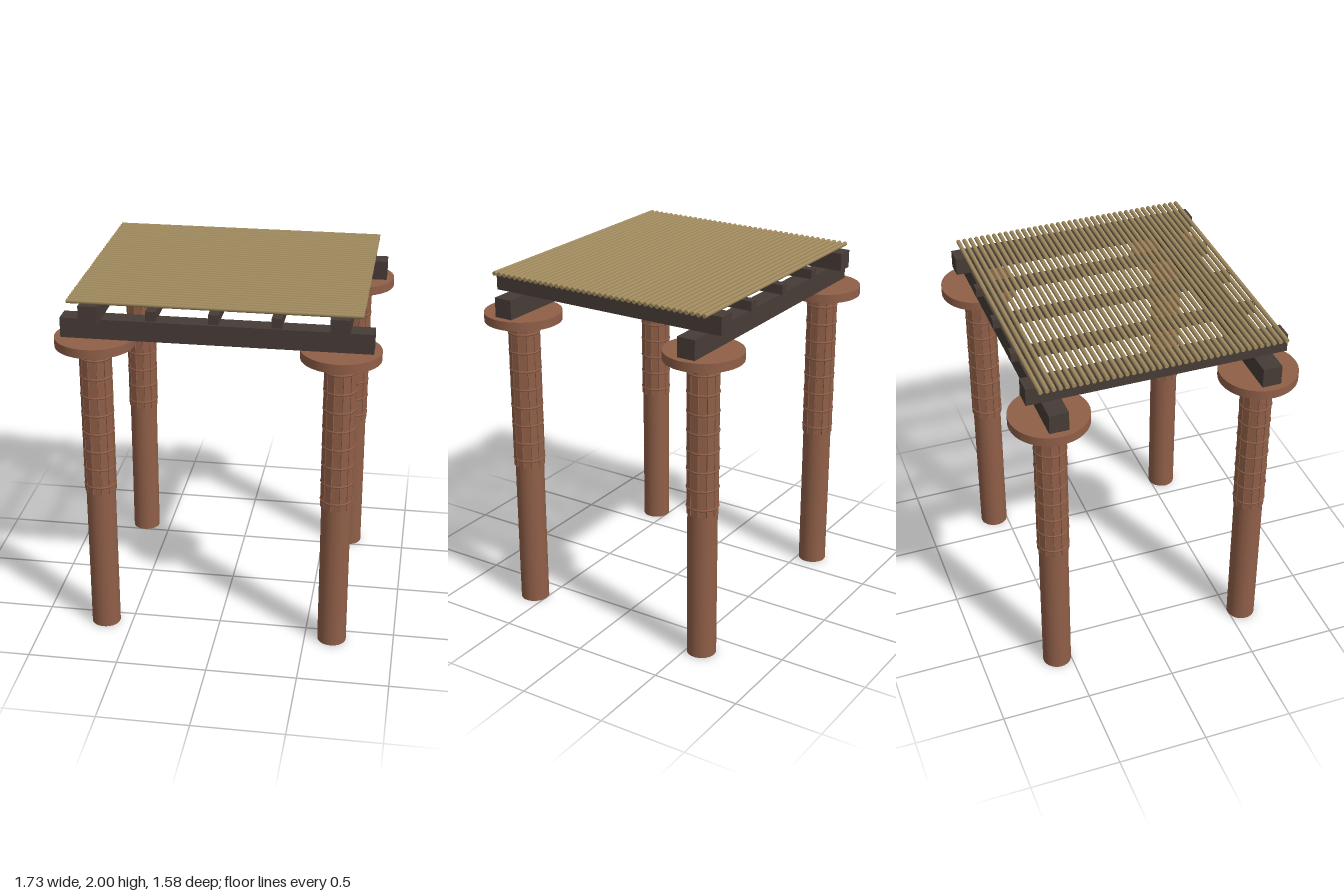
import * as THREE from 'three';

export function createModel() {
  const model = new THREE.Group();
  model.name = 'raisedPlatform';
  const clay = new THREE.MeshStandardMaterial({ name: 'reddish brown wood', color: 0x905f48 });
  const dark = new THREE.MeshStandardMaterial({ name: 'dark timber', color: 0x473c37 });
  const cane = new THREE.MeshStandardMaterial({ name: 'dry cane', color: 0xa08a5e });

  const POST_X = 0.653, POST_Z = 0.577;

  function add(parent, name, geometry, material, x, y, z) {
    const mesh = new THREE.Mesh(geometry, material);
    mesh.name = name;
    mesh.position.set(x, y, z);
    parent.add(mesh);
    return mesh;
  }

  // Posts: round shaft, bark strips bound by rings, wide disc cap
  const shaftGeo = new THREE.CylinderGeometry(0.081, 0.081, 1.72, 32);
  const stripGeo = new THREE.BoxGeometry(0.041, 0.862, 0.01);
  const ringGeo = new THREE.TorusGeometry(0.083, 0.007, 8, 32).rotateX(Math.PI / 2);
  const capGeo = new THREE.CylinderGeometry(0.213, 0.213, 0.05, 48);
  const strips = 12, rings = 8;

  function makePost(x, z) {
    const post = new THREE.Group();
    post.name = 'post';
    post.position.set(x, 0, z);
    add(post, 'shaft', shaftGeo, clay, 0, 0.86, 0);
    for (let i = 0; i < strips; i++) {
      const a = (i / strips) * Math.PI * 2;
      const strip = add(post, 'barkStrip', stripGeo, clay, Math.sin(a) * 0.08, 1.286, Math.cos(a) * 0.08);
      strip.rotation.y = a;
    }
    for (let i = 0; i < rings; i++) add(post, 'bindingRing', ringGeo, clay, 0, 0.897 + i * 0.1075, 0);
    add(post, 'discCap', capGeo, clay, 0, 1.742, 0);
    model.add(post);
  }
  for (const sx of [-1, 1]) for (const sz of [-1, 1]) makePost(sx * POST_X, sz * POST_Z);

  // Beams: lower pair across, upper pair front to back
  const lowerGeo = new THREE.BoxGeometry(1.648, 0.109, 0.105);
  const upperGeo = new THREE.BoxGeometry(0.1, 0.1, 1.42);
  for (const s of [-1, 1]) {
    add(model, 'lowerBeam', lowerGeo, dark, 0, 1.8215, s * POST_Z);
    add(model, 'upperBeam', upperGeo, dark, s * POST_X, 1.926, 0);
  }

  // Slim joists under the deck
  const joistGeo = new THREE.BoxGeometry(0.053, 0.053, 1.36);
  for (const x of [-0.328, 0, 0.328]) add(model, 'joist', joistGeo, dark, x, 1.928, 0);

  // Deck of round canes
  const caneGeo = new THREE.CylinderGeometry(0.012, 0.012, 1.54, 10).rotateZ(Math.PI / 2);
  const canes = 39;
  for (let i = 0; i < canes; i++) {
    add(model, 'deckCane', caneGeo, cane, 0, 1.988, -0.65 + (i / (canes - 1)) * 1.322);
  }

  return model;
}
